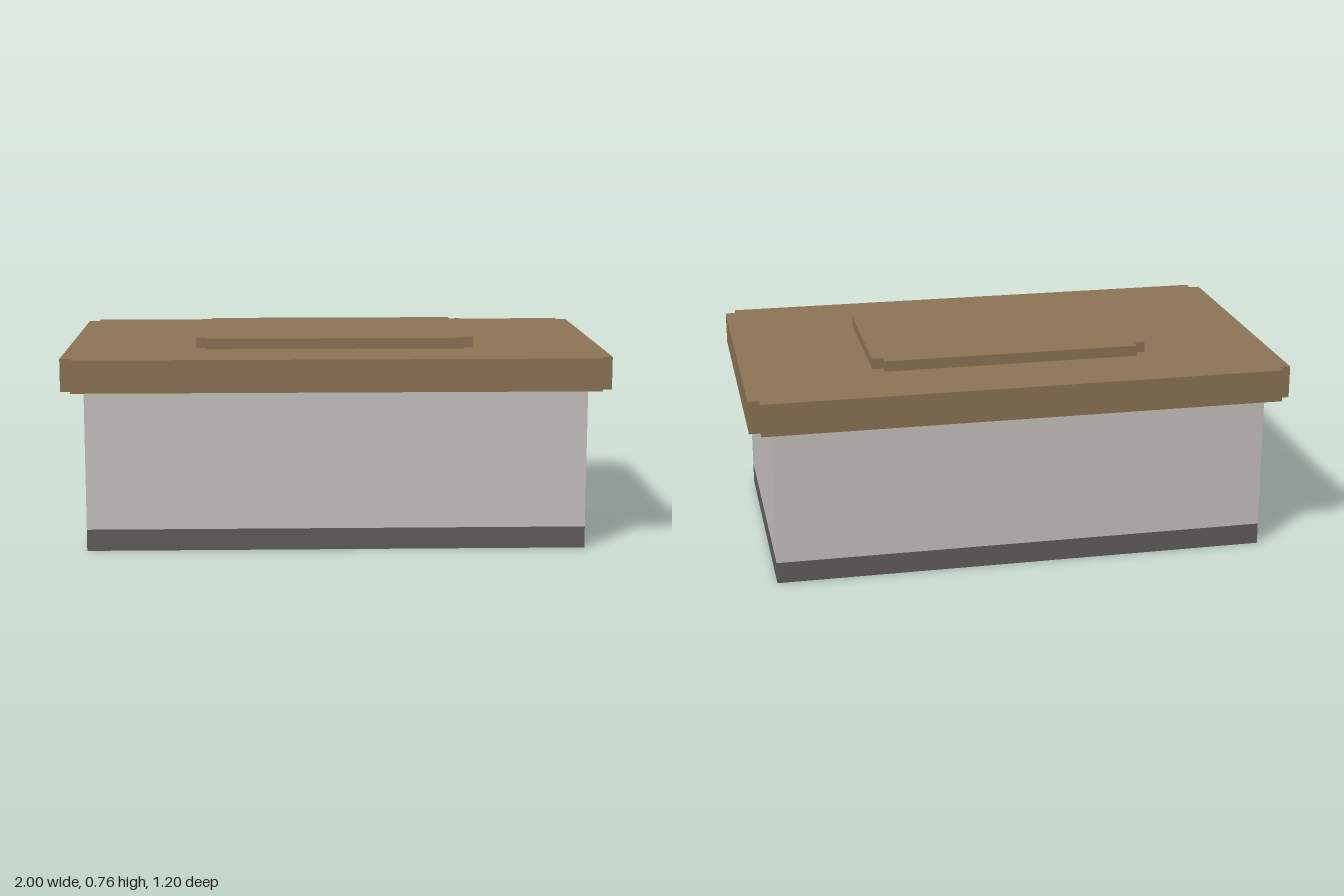
import * as THREE from 'three';

const paint = (name, color) => {
  const material = new THREE.MeshStandardMaterial({ color });
  material.name = name;
  return material;
};

// Flat slab with a small square notch cut from each corner
function notchedSlab(halfX, halfZ, height, notch) {
  const ix = halfX - notch, iz = halfZ - notch;
  const outline = [
    [halfX, -iz], [halfX, iz], [ix, iz], [ix, halfZ],
    [-ix, halfZ], [-ix, iz], [-halfX, iz], [-halfX, -iz],
    [-ix, -iz], [-ix, -halfZ], [ix, -halfZ], [ix, -iz],
  ].map(([x, z]) => new THREE.Vector2(x, z));
  const geometry = new THREE.ExtrudeGeometry(new THREE.Shape(outline), { depth: height, bevelEnabled: false });
  return geometry.rotateX(-Math.PI / 2);
}

// Box standing on its base
const block = (width, height, depth) =>
  new THREE.BoxGeometry(width, height, depth).translate(0, height / 2, 0);

export function createModel() {
  const model = new THREE.Group();
  model.name = 'liddedBox';

  const brown = paint('brown', 0x8e7556);
  const paleGrey = paint('paleGrey', 0xc9c5c2);
  const darkGrey = paint('darkGrey', 0x625e5b);

  const add = (name, geometry, material, y) => {
    const mesh = new THREE.Mesh(geometry, material);
    mesh.name = name;
    mesh.position.y = y;
    model.add(mesh);
  };

  // Body on a dark plinth
  add('plinth', block(1.84, 0.08, 1.04), darkGrey, 0);
  add('body', block(1.84, 0.52, 1.04), paleGrey, 0.08);

  // Overhanging lid with a raised panel
  add('lid', notchedSlab(1, 0.6, 0.12, 0.04), brown, 0.6);
  add('lidPanel', notchedSlab(0.52, 0.32, 0.04, 0.04), brown, 0.72);

  return model;
}
